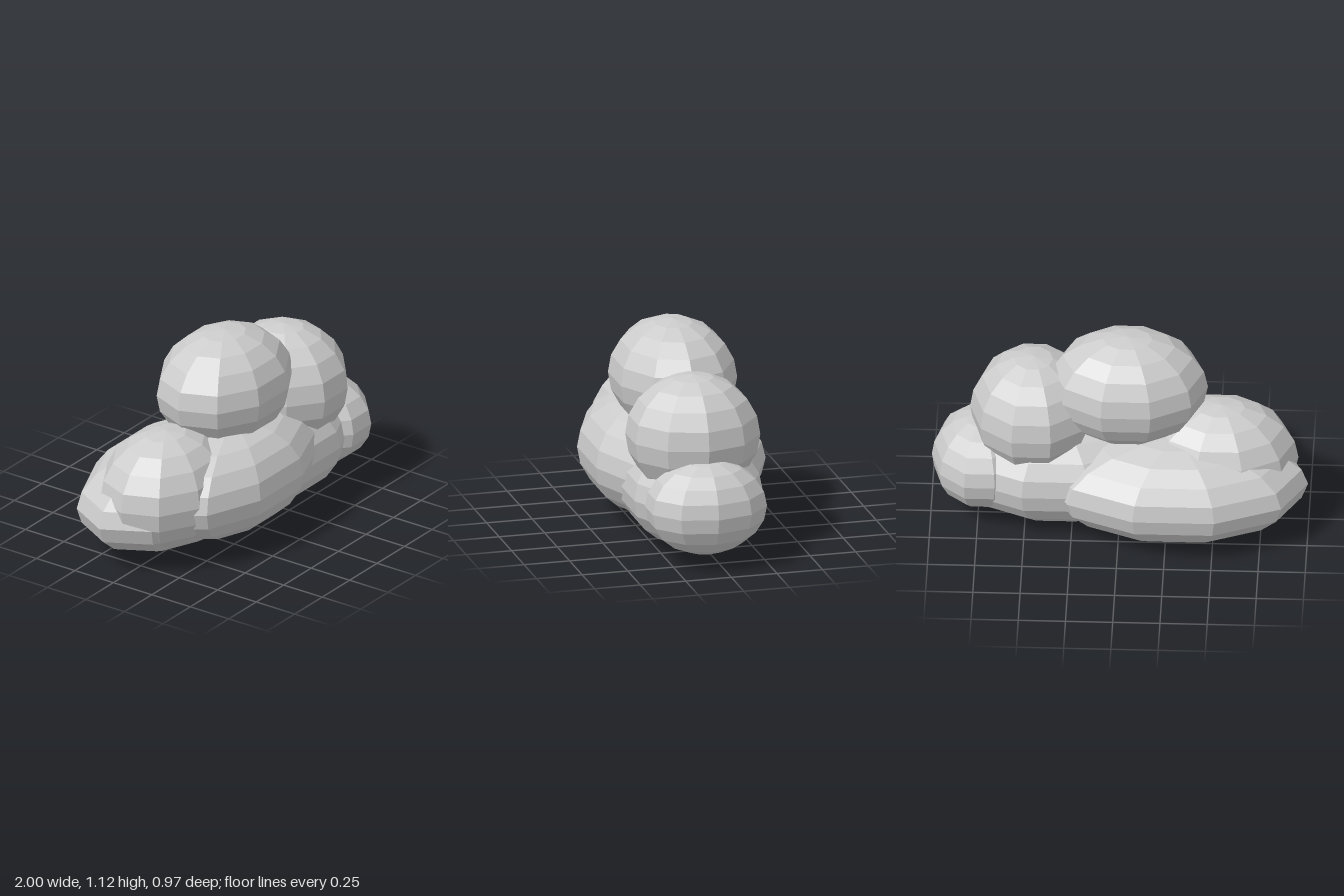
import * as THREE from 'three';

// Each puff: name, centre [x, y, z], radii [x, y, z]
const PUFFS = [
  ['backBasePuff', [-0.30, 0.288, -0.09], [0.70, 0.288, 0.415]],
  ['frontBasePuff', [-0.14, 0.354, 0.16], [0.63, 0.30, 0.338]],
  ['rightBasePuff', [0.33, 0.305, 0.045], [0.58, 0.30, 0.37]],
  ['leftPuff', [-0.535, 0.39, 0.01], [0.41, 0.325, 0.325]],
  ['topPuff', [-0.04, 0.81, 0.038], [0.425, 0.31, 0.335]],
  ['upperSidePuff', [0.46, 0.637, 0.064], [0.335, 0.33, 0.36]],
  ['endPuff', [0.735, 0.32, 0.067], [0.263, 0.256, 0.329]],
];

export function createModel() {
  const cloud = new THREE.Group();
  cloud.name = 'cloud';

  const material = new THREE.MeshStandardMaterial({ color: 0xcccccc, flatShading: true });
  const ball = new THREE.SphereGeometry(1, 10, 10);

  // Overlapping low-poly ellipsoids make up the cloud
  for (const [name, centre, radii] of PUFFS) {
    const puff = new THREE.Mesh(ball, material);
    puff.name = name;
    puff.position.set(...centre);
    puff.scale.set(...radii);
    cloud.add(puff);
  }
  return cloud;
}
